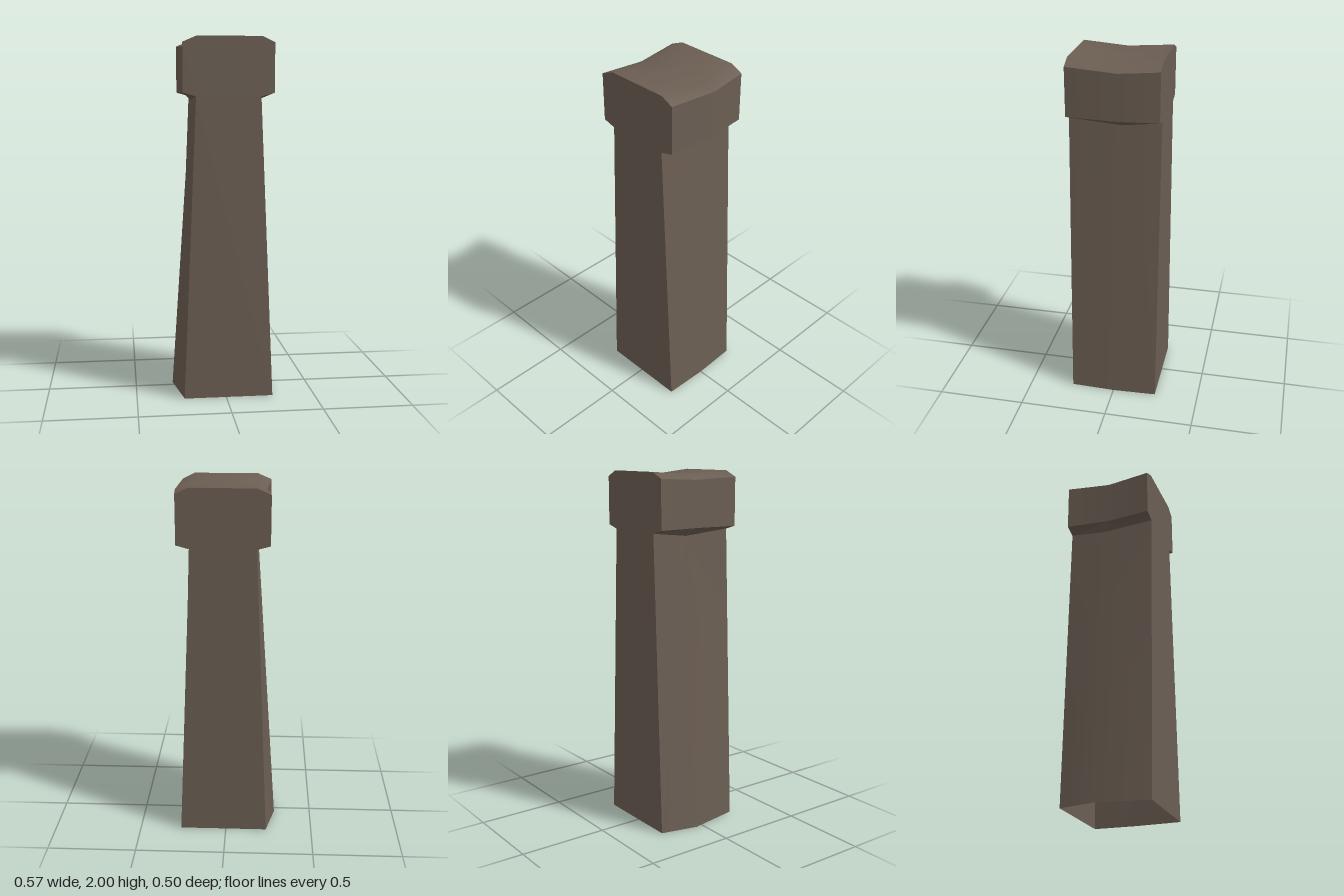
import * as THREE from 'three';
import { toCreasedNormals } from 'three/addons/utils/BufferGeometryUtils.js';

const HALF_DEPTH = 0.25;

// End outline, from the right foot up over the head to the left foot
const ends = [
  [0.263, 0], [0.19, 1.68], [0.263, 1.7], [0.263, 1.967], [0.195, 2], [0.02, 2],
  [-0.16, 2], [-0.237, 1.967], [-0.237, 1.7], [-0.165, 1.68], [-0.235, 0],
];
// Worn middle outline: x, y, z for the same corners
const middle = [
  [0.272, 0, 0], [0.21, 1.657, -0.04], [0.283, 1.7, -0.03], [0.283, 1.953, -0.03], [0.21, 1.972, 0], [0.02, 1.972, 0],
  [-0.145, 1.985, 0], [-0.215, 1.955, 0], [-0.215, 1.7, 0], [-0.172, 1.657, -0.04], [-0.285, 0, -0.04],
];

// Joins the three outlines into a skin for the corners from..to
function skin(from, to) {
  const rings = [
    ends.map(([x, y]) => [x, y, HALF_DEPTH]),
    middle,
    ends.map(([x, y]) => [x, y, -HALF_DEPTH]),
  ];
  const positions = [];
  for (let r = 0; r < 2; r++) {
    for (let i = from; i < to; i++) {
      const a = rings[r][i], b = rings[r + 1][i];
      const c = rings[r + 1][i + 1], d = rings[r][i + 1];
      // mirrored diagonals meet at the middle outline
      if (r === 0) positions.push(...a, ...b, ...d, ...b, ...c, ...d);
      else positions.push(...a, ...b, ...c, ...a, ...c, ...d);
    }
  }
  const geometry = new THREE.BufferGeometry();
  geometry.setAttribute('position', new THREE.Float32BufferAttribute(positions, 3));
  return toCreasedNormals(geometry, THREE.MathUtils.degToRad(32));
}

export function createModel() {
  const group = new THREE.Group();
  group.name = 'stonePost';
  const stone = new THREE.MeshStandardMaterial({ color: 0x6b5e53, side: THREE.DoubleSide });
  stone.name = 'brown stone';

  const add = (name, geometry) => {
    const mesh = new THREE.Mesh(geometry, stone);
    mesh.name = name;
    group.add(mesh);
    return mesh;
  };

  // Tapered shaft sides, open underneath, and the wider head
  add('shaftRight', skin(0, 1));
  add('shaftLeft', skin(9, 10));
  add('head', skin(1, 9));

  // Flat front and back faces
  const outline = new THREE.Shape(ends.map(([x, y]) => new THREE.Vector2(x, y)));
  add('frontFace', new THREE.ShapeGeometry(outline)).position.z = HALF_DEPTH;
  const mirrored = new THREE.Shape(ends.map(([x, y]) => new THREE.Vector2(-x, y)));
  const back = add('backFace', new THREE.ShapeGeometry(mirrored));
  back.position.z = -HALF_DEPTH;
  back.rotation.y = Math.PI;

  return group;
}
